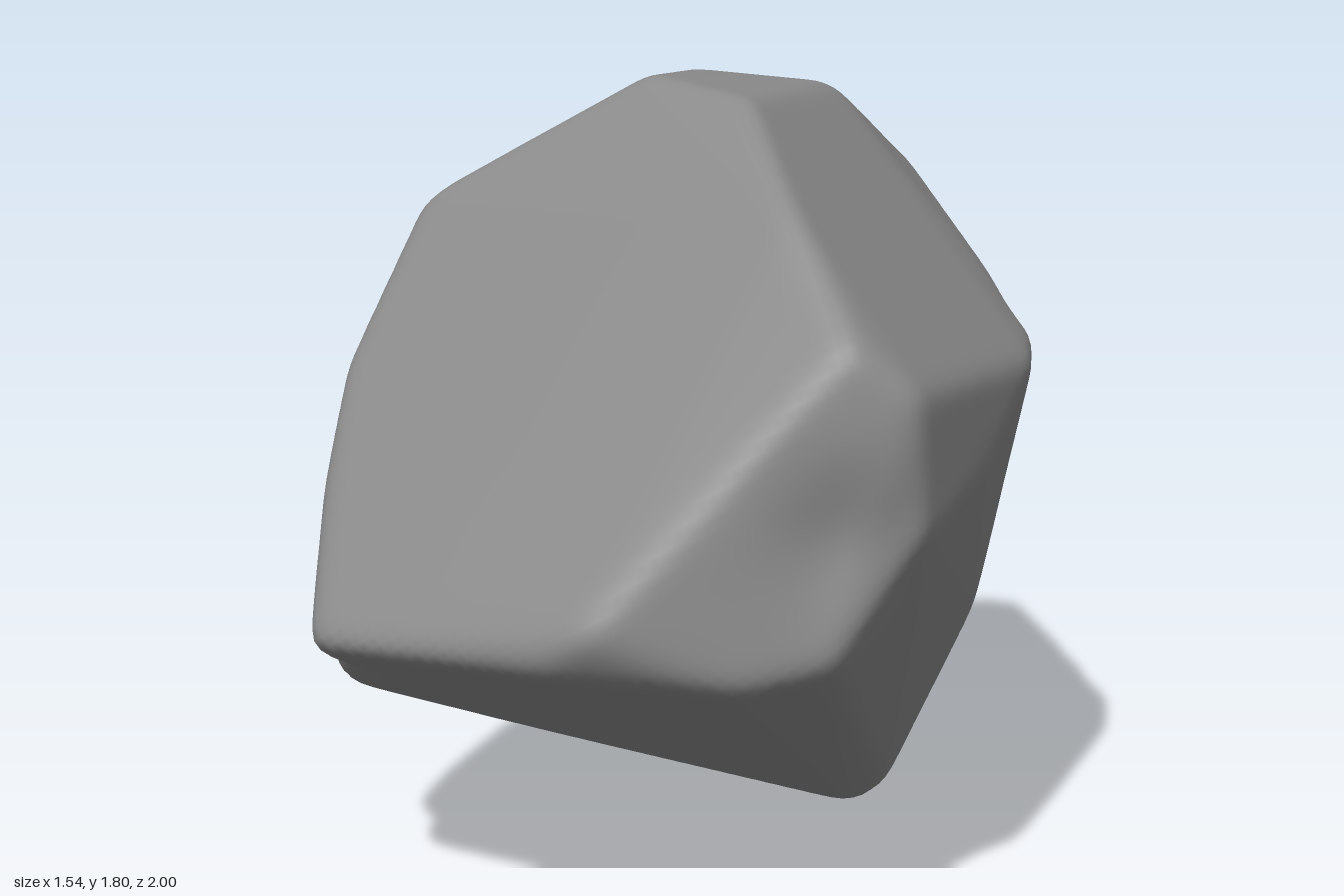
import * as THREE from 'three';
import { ConvexGeometry } from 'three/addons/geometries/ConvexGeometry.js';
import { mergeVertices } from 'three/addons/utils/BufferGeometryUtils.js';

const CENTRE = new THREE.Vector3(0, 0.95, 0);

// Corners of the faceted block, slightly proud to allow for wear
const CORNERS = [
  [0.16, 1.745, -0.62], [-0.21, 1.77, -0.62], [-0.13, 1.795, -0.08], [0.16, 1.755, 0.06], // top
  [-0.65, 1.5, 0.04], [-0.72, 1.34, -0.03], [-0.31, 1.6, -0.62], // upper left
  [0.1, 1.49, -1.0], [0.27, 1.51, -1.0], [0.18, 1.3, -1.01], // back point
  [-0.775, 1.0, 0.2], [-0.755, 0.62, 0.34], [-0.72, 0.395, 0.37], // left
  [-0.72, 1.15, 0.33], [-0.69, 0.9, 0.53], // left of the front face
  [-0.58, 0.63, 0.85], [0.0, 0.66, 0.99], [0.11, 0.76, 1.02], [0.4, 0.63, 0.89], // front edge
  [0.37, 1.56, 0.42], [0.58, 1.33, 0.68], // front ridge
  [0.71, 1.22, 0.64], [0.73, 0.92, 0.63], [0.58, 0.67, 0.79], // front right
  [0.755, 0.98, 0.22], [0.775, 1.16, -0.16], [0.73, 1.18, -0.39], [0.6, 0.5, -0.38], // right
  [0.31, -0.03, -0.35], [0.39, 0.03, -0.36], [0.31, 0.07, -0.62], [-0.35, 0.23, 0.07], // foot
];

// Worn hollows: position, radius, depth
const HOLLOWS = [
  [[0.6, 0.92, 0.74], 0.18, 0.045], // front right
  [[0.64, 1.12, -0.48], 0.14, 0.035], [[0.62, 0.94, -0.45], 0.14, 0.02], // right edge
  [[-0.66, 0.54, 0.63], 0.1, 0.035], // front left
  [[0.26, 1.0, -0.9], 0.22, 0.04], // back edge
];

// Push a fine sphere out to the facets of the block
function projectToFacets(geometry) {
  const hull = new ConvexGeometry(CORNERS.map((c) => new THREE.Vector3(...c).sub(CENTRE)));
  const hp = hull.attributes.position;
  const planes = [];
  for (let i = 0; i < hp.count; i += 3) {
    const [a, b, c] = [0, 1, 2].map((k) => new THREE.Vector3().fromBufferAttribute(hp, i + k));
    planes.push(new THREE.Plane().setFromCoplanarPoints(a, b, c));
  }
  const pos = geometry.attributes.position;
  const d = new THREE.Vector3();
  for (let i = 0; i < pos.count; i++) {
    d.fromBufferAttribute(pos, i).normalize();
    let r = Infinity;
    for (const p of planes) {
      const facing = p.normal.dot(d);
      if (facing > 1e-5) r = Math.min(r, -p.constant / facing);
    }
    d.multiplyScalar(r).add(CENTRE);
    pos.setXYZ(i, d.x, d.y, d.z);
  }
}

function carveHollows(geometry) {
  const pos = geometry.attributes.position;
  const v = new THREE.Vector3();
  const inward = new THREE.Vector3();
  for (let i = 0; i < pos.count; i++) {
    v.fromBufferAttribute(pos, i);
    inward.copy(CENTRE).sub(v).normalize();
    for (const [at, radius, depth] of HOLLOWS) {
      const t = v.distanceTo(new THREE.Vector3(...at)) / radius;
      v.addScaledVector(inward, depth * Math.exp(-t * t * 1.5));
    }
    pos.setXYZ(i, v.x, v.y, v.z);
  }
}

// Round the edges by averaging each vertex with its neighbours
function wearEdges(geometry, passes) {
  const arr = geometry.attributes.position.array;
  const index = geometry.index.array;
  for (let pass = 0; pass < passes; pass++) {
    const sum = new Float32Array(arr.length);
    const count = new Uint16Array(arr.length / 3);
    for (let i = 0; i < index.length; i += 3) {
      for (let k = 0; k < 3; k++) {
        const a = index[i + k];
        const b = index[i + ((k + 1) % 3)];
        for (let c = 0; c < 3; c++) sum[a * 3 + c] += arr[b * 3 + c];
        count[a]++;
      }
    }
    for (let i = 0; i < arr.length; i++) {
      arr[i] += 0.6 * (sum[i] / count[Math.floor(i / 3)] - arr[i]);
    }
  }
}

export function createModel() {
  let geometry = new THREE.IcosahedronGeometry(1, 44);
  geometry.deleteAttribute('normal');
  geometry.deleteAttribute('uv');
  geometry = mergeVertices(geometry, 1e-4);
  projectToFacets(geometry);
  carveHollows(geometry);
  wearEdges(geometry, 3);
  geometry.computeVertexNormals();

  const rock = new THREE.Mesh(geometry, new THREE.MeshStandardMaterial({ color: 0x8a8a8a }));
  rock.name = 'rock';
  const group = new THREE.Group();
  group.name = 'boulder';
  group.add(rock);
  return group;
}
